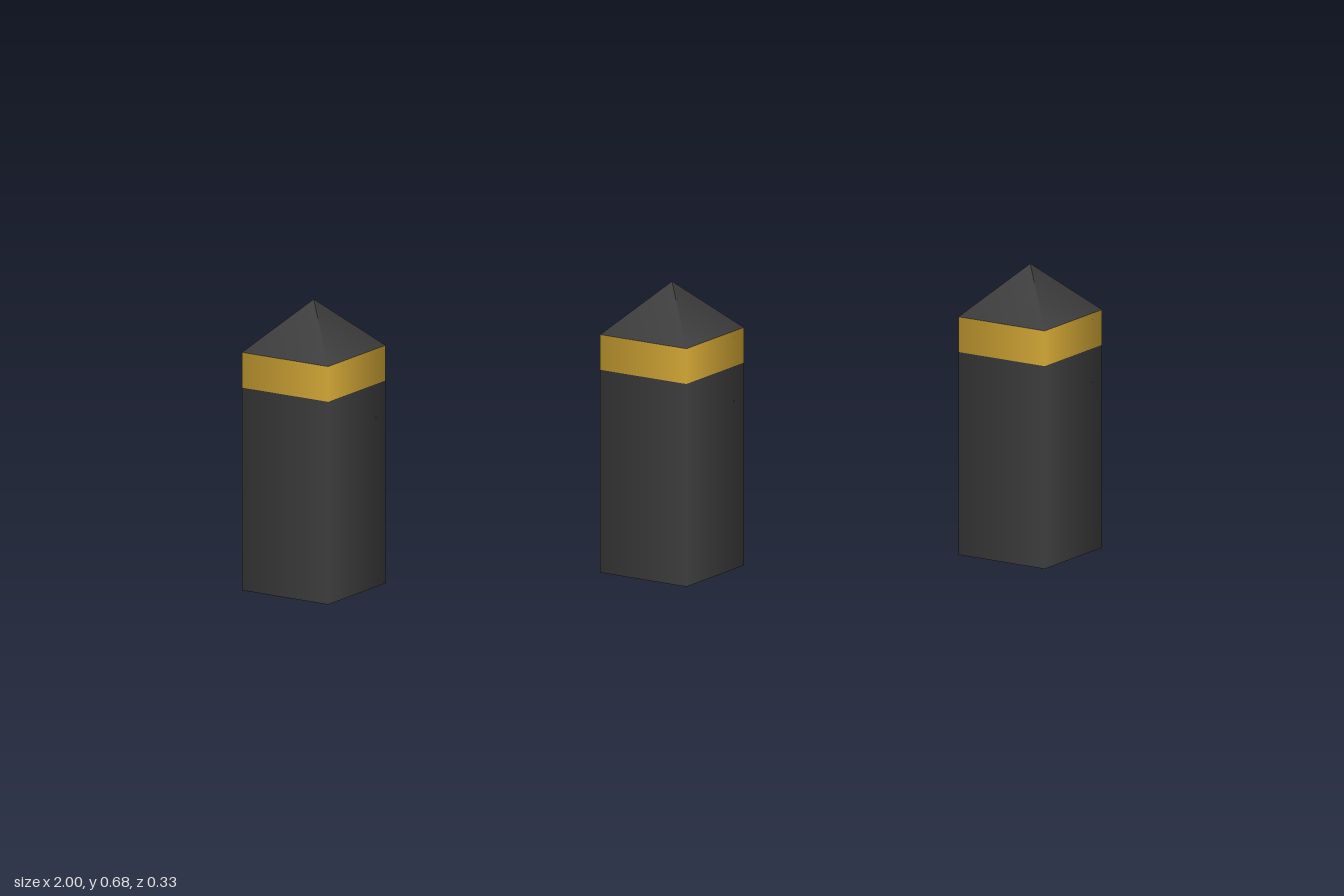
import * as THREE from 'three';

const RADIUS = 0.167;
const SIDES = 4;

export function createModel() {
  const charcoal = new THREE.MeshStandardMaterial({ name: 'charcoal', color: 0x3d3d3d });
  const gold = new THREE.MeshStandardMaterial({ name: 'gold', color: 0xd4a836 });

  // Four-sided sections with smooth normals, corners on the x and z axes
  const section = (topRadius, bottom, top, open) => {
    const geometry = new THREE.CylinderGeometry(topRadius, RADIUS, top - bottom, SIDES, 1, open);
    return geometry.translate(0, (bottom + top) / 2, 0);
  };

  const parts = [
    ['post', section(RADIUS, 0, 0.477, false), charcoal],
    ['band', section(RADIUS, 0.477, 0.56, true), gold],
    ['pointedCap', section(0, 0.56, 0.677, false), charcoal],
  ];

  // Row of three identical bollards
  const model = new THREE.Group();
  model.name = 'bollards';
  for (const [name, x] of [['rightBollard', -0.833], ['middleBollard', 0], ['leftBollard', 0.833]]) {
    const bollard = new THREE.Group();
    bollard.name = name;
    bollard.position.x = x;
    for (const [partName, geometry, material] of parts) {
      const mesh = new THREE.Mesh(geometry, material);
      mesh.name = partName;
      bollard.add(mesh);
    }
    model.add(bollard);
  }
  return model;
}
